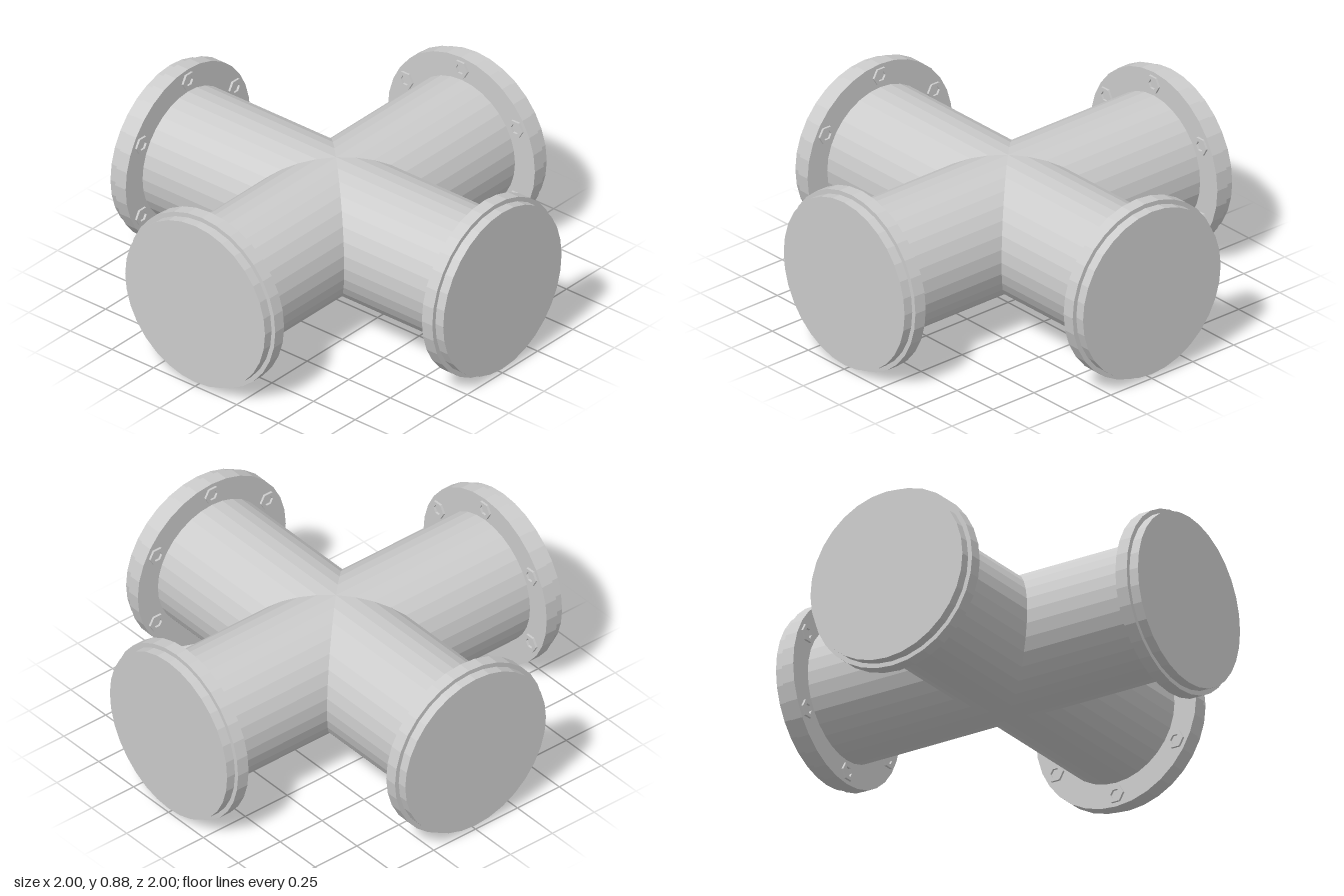
import * as THREE from 'three';

const SIDES = 32;
const AXIS_Y = 0.445;
const PIPE_R = 0.322;
const BOLT_CIRCLE = 0.382;
const material = new THREE.MeshStandardMaterial({ color: 0xcccccc, flatShading: true });

function part(name, geometry) {
  const mesh = new THREE.Mesh(geometry, material);
  mesh.name = name;
  return mesh;
}

// Cylinder lying along z between two stations
function cylinderZ(radius, z0, z1, open = false) {
  const g = new THREE.CylinderGeometry(radius, radius, z1 - z0, SIDES, 1, open);
  g.rotateX(Math.PI / 2);
  g.translate(0, 0, (z0 + z1) / 2);
  return g;
}

// Pipe whose inner end is mitred to meet its neighbours at 45 degrees
function mitredPipe() {
  const g = cylinderZ(PIPE_R, 0, 0.9, true);
  const p = g.attributes.position;
  for (let i = 0; i < p.count; i++) {
    if (p.getZ(i) < 0.01) p.setZ(i, Math.abs(p.getX(i)));
  }
  g.computeVertexNormals();
  return g;
}

// Hexagon outline with corners on the horizontal axis
function hexagon(PathType, radius) {
  const points = [];
  for (let i = 0; i < 6; i++) {
    const a = (i * Math.PI) / 3;
    points.push(new THREE.Vector2(radius * Math.cos(a), radius * Math.sin(a)));
  }
  return new PathType(points);
}

// Thin hex nut with an open hex centre
function nutGeometry() {
  const shape = hexagon(THREE.Shape, 0.045);
  shape.holes.push(hexagon(THREE.Path, 0.025));
  const g = new THREE.ExtrudeGeometry(shape, { depth: 0.014, bevelEnabled: false });
  g.translate(0, 0, 0.879);
  return g;
}

export function createModel() {
  const model = new THREE.Group();
  model.name = 'pipeCross';

  const pipe = mitredPipe();
  const flange = cylinderZ(0.442, 0.89, 0.953);
  const face = cylinderZ(0.42, 0.95, 1);
  const nut = nutGeometry();

  // Four identical arms around the vertical axis
  ['front', 'left', 'back', 'right'].forEach((side, k) => {
    const arm = new THREE.Group();
    arm.name = side + 'Arm';
    arm.add(part('pipe', pipe), part('flange', flange), part('raisedFace', face));

    // Six nuts on the inner side of the flange
    for (let i = 0; i < 6; i++) {
      const a = Math.PI / 2 + (i * Math.PI) / 3;
      const mesh = part('nut', nut);
      mesh.position.set(BOLT_CIRCLE * Math.cos(a), BOLT_CIRCLE * Math.sin(a), 0);
      arm.add(mesh);
    }

    arm.position.y = AXIS_Y;
    arm.rotation.y = (k * Math.PI) / 2;
    model.add(arm);
  });

  return model;
}
